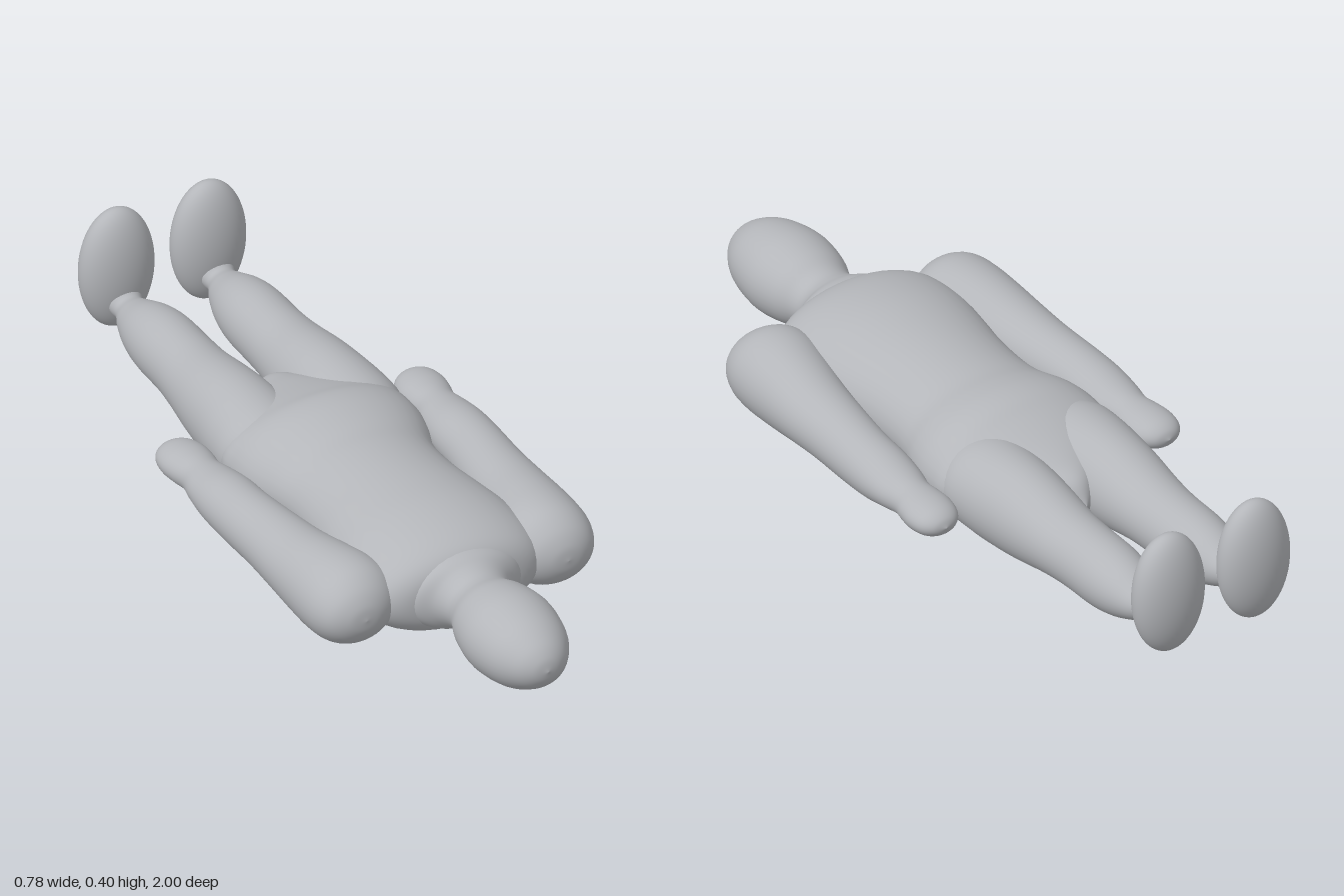
import * as THREE from 'three';

const MID = 0.153; // height of the body's long axis

// Smooth tube through elliptical sections [z, centreX, radiusX, radiusY, centreY?], ordered from +z to -z
function loft(sections, side = 1, around = 40, steps = 6) {
  const size = new THREE.CatmullRomCurve3(
    sections.map(([z, , rx, ry]) => new THREE.Vector3(rx, ry, z)), false, 'catmullrom', 0.5);
  const centre = new THREE.CatmullRomCurve3(
    sections.map((s) => new THREE.Vector3(s[1] * side, s[4] ?? MID, 0)), false, 'catmullrom', 0.5);
  const rings = (sections.length - 1) * steps;
  const positions = [];
  const index = [];
  for (let i = 0; i <= rings; i++) {
    const r = size.getPoint(i / rings);
    const c = centre.getPoint(i / rings);
    for (let j = 0; j < around; j++) {
      const a = (j / around) * Math.PI * 2;
      positions.push(c.x + Math.max(r.x, 0) * Math.cos(a), c.y + Math.max(r.y, 0) * Math.sin(a), r.z);
      if (i < rings) {
        const p = i * around + j;
        const q = i * around + ((j + 1) % around);
        index.push(p, p + around, q, q, p + around, q + around);
      }
    }
  }
  const geometry = new THREE.BufferGeometry();
  geometry.setAttribute('position', new THREE.Float32BufferAttribute(positions, 3));
  geometry.setIndex(index);
  geometry.computeVertexNormals();
  return geometry;
}

export function createModel() {
  const group = new THREE.Group();
  const grey = new THREE.MeshStandardMaterial({ color: 0xb4b6ba });
  grey.name = 'matte grey';

  const add = (name, geometry) => {
    const mesh = new THREE.Mesh(geometry, grey);
    mesh.name = name;
    group.add(mesh);
    return mesh;
  };

  // Egg-shaped head running into a flared neck
  add('headAndNeck', loft([
    [1.0, 0, 0, 0], [0.99, 0, 0.039, 0.035], [0.96, 0, 0.075, 0.067], [0.9, 0, 0.107, 0.096],
    [0.81, 0, 0.122, 0.11], [0.73, 0, 0.111, 0.1], [0.68, 0, 0.092, 0.083], [0.65, 0, 0.09, 0.08],
    [0.62, 0, 0.108, 0.088], [0.59, 0, 0.15, 0.1], [0.54, 0, 0.17, 0.11],
  ]));

  // Chest, waist, hips and the web between the thighs
  add('torso', loft([
    [0.605, 0, 0, 0], [0.6, 0, 0.11, 0.06], [0.585, 0, 0.18, 0.095], [0.55, 0, 0.225, 0.12],
    [0.49, 0, 0.245, 0.138], [0.4, 0, 0.245, 0.148], [0.3, 0, 0.23, 0.146], [0.2, 0, 0.212, 0.142],
    [0.1, 0, 0.207, 0.137], [0.03, 0, 0.217, 0.134], [-0.03, 0, 0.238, 0.144], [-0.08, 0, 0.25, 0.15],
    [-0.13, 0, 0.253, 0.146], [-0.18, 0, 0.25, 0.128], [-0.25, 0, 0.21, 0.105], [-0.33, 0, 0.12, 0.08],
    [-0.39, 0, 0.05, 0.055], [-0.425, 0, 0, 0],
  ]));

  for (const [label, side] of [['left', 1], ['right', -1]]) {
    // Arm from rounded shoulder to wrist and mitten hand
    add(label + 'Arm', loft([
      [0.597, 0.275, 0, 0], [0.59, 0.275, 0.045, 0.038], [0.565, 0.272, 0.087, 0.075],
      [0.52, 0.268, 0.113, 0.102], [0.46, 0.27, 0.118, 0.109], [0.38, 0.281, 0.107, 0.102],
      [0.28, 0.293, 0.094, 0.087], [0.18, 0.301, 0.084, 0.079], [0.06, 0.312, 0.077, 0.073],
      [-0.03, 0.315, 0.075, 0.066], [-0.1, 0.317, 0.067, 0.053], [-0.15, 0.319, 0.056, 0.046],
      [-0.19, 0.321, 0.062, 0.045], [-0.23, 0.323, 0.065, 0.044], [-0.27, 0.325, 0.056, 0.037],
      [-0.295, 0.326, 0.034, 0.022], [-0.306, 0.327, 0, 0],
    ], side));

    // Leg tapering from thigh through calf to ankle
    add(label + 'Leg', loft([
      [-0.06, 0.12, 0, 0], [-0.1, 0.12, 0.08, 0.08], [-0.17, 0.126, 0.12, 0.108],
      [-0.25, 0.127, 0.121, 0.117], [-0.34, 0.126, 0.113, 0.117], [-0.42, 0.126, 0.105, 0.108],
      [-0.52, 0.125, 0.093, 0.091], [-0.6, 0.123, 0.087, 0.087], [-0.7, 0.123, 0.085, 0.085],
      [-0.77, 0.124, 0.075, 0.073], [-0.83, 0.125, 0.056, 0.051], [-0.865, 0.126, 0.04, 0.036, 0.157],
      [-0.89, 0.126, 0.044, 0.042, 0.165], [-0.93, 0.126, 0.05, 0.05, 0.18],
    ], side));

    // Upright oval foot
    const foot = add(label + 'Foot', new THREE.SphereGeometry(1, 48, 32));
    foot.scale.set(0.099, 0.165, 0.063);
    foot.position.set(0.125 * side, 0.24, -0.937);
  }

  return group;
}
